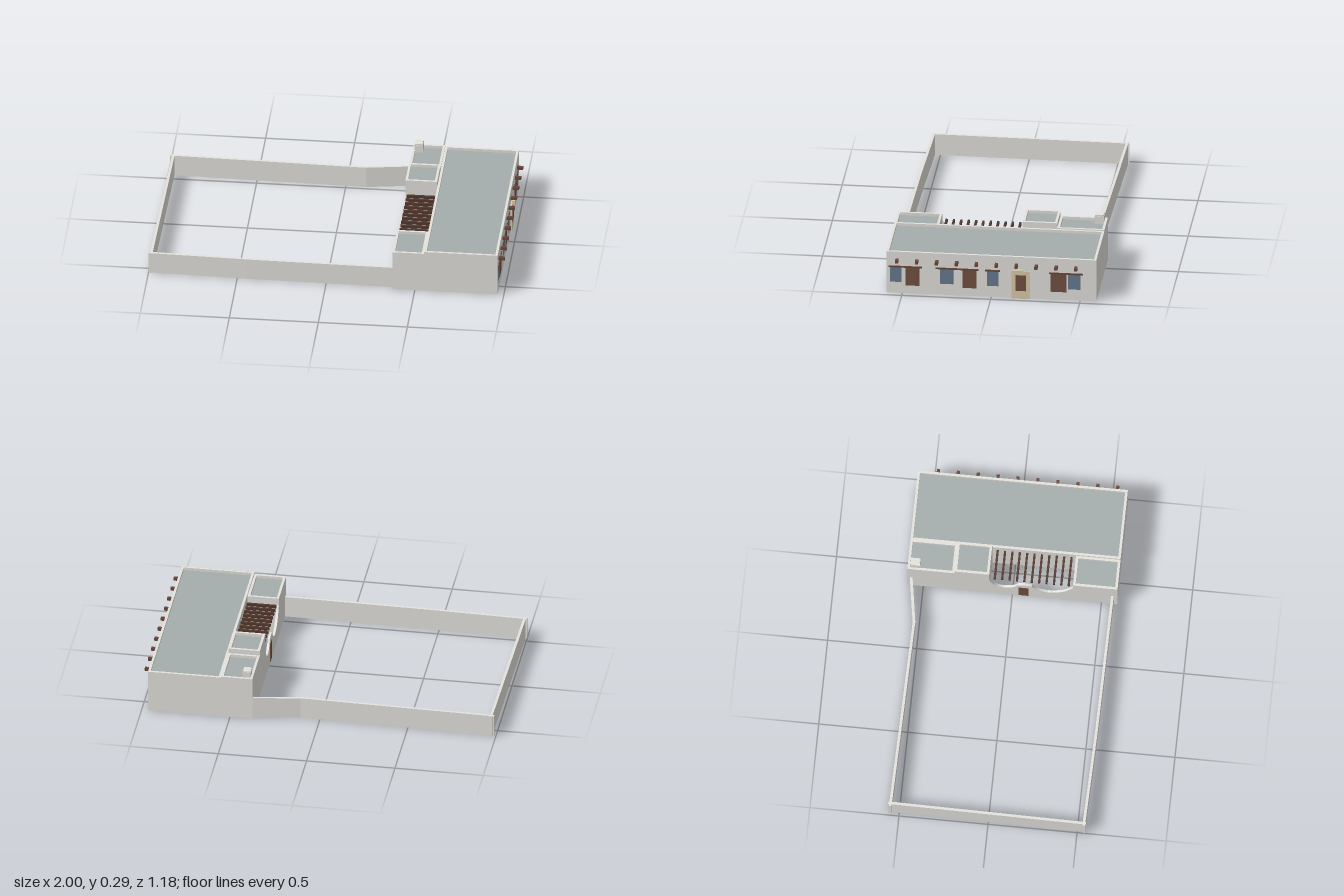
import * as THREE from 'three';

const mat = (name, color, side = THREE.FrontSide) => {
  const m = new THREE.MeshStandardMaterial({ color, side });
  m.name = name;
  return m;
};

export function createModel() {
  const model = new THREE.Group();
  model.name = 'courtyardHouse';
  const plaster = mat('plaster', 0xe4e2dd);
  const roofGrey = mat('roofGrey', 0xa5aeac, THREE.DoubleSide);
  const timber = mat('timber', 0x53392e);
  const lintelWood = mat('lintelWood', 0x69473b);
  const doorBrown = mat('doorBrown', 0x745042);
  const glassBlue = mat('glassBlue', 0x687b90);
  const sandstone = mat('sandstone', 0xdccdab);

  const add = (name, geo, material, parent = model) => {
    const m = new THREE.Mesh(geo, material);
    m.name = name;
    parent.add(m);
  };
  // Box given by its limits on each axis
  const box = (name, material, x0, x1, y0, y1, z0, z1) => {
    const g = new THREE.BoxGeometry(x1 - x0, y1 - y0, z1 - z0);
    g.translate((x0 + x1) / 2, (y0 + y1) / 2, (z0 + z1) / 2);
    add(name, g, material);
  };

  // Room: a ring of walls, open below, with a roof sunk behind the parapet
  const T = 0.014;
  const room = (name, x0, x1, z0, z1, h) => {
    const group = new THREE.Group();
    group.name = name;
    model.add(group);
    // Counter-clockwise, so that the inner faces of the hole look inwards
    const rect = (C, d) => {
      const s = new C();
      s.moveTo(x0 + d, -z1 + d);
      s.lineTo(x1 - d, -z1 + d);
      s.lineTo(x1 - d, -z0 - d);
      s.lineTo(x0 + d, -z0 - d);
      s.closePath();
      return s;
    };
    const shape = rect(THREE.Shape, 0);
    shape.holes.push(rect(THREE.Path, T));
    const walls = new THREE.ExtrudeGeometry(shape, { depth: h, bevelEnabled: false });
    walls.rotateX(-Math.PI / 2);
    add(name + 'Walls', walls, plaster, group);
    const roof = new THREE.PlaneGeometry(x1 - x0 - 2 * T, z1 - z0 - 2 * T);
    roof.rotateX(-Math.PI / 2);
    roof.translate((x0 + x1) / 2, h - 0.016, (z0 + z1) / 2);
    add(name + 'Roof', roof, roofGrey, group);
  };
  const W = 0.374, M = 0.552, E = 0.965;
  room('mainHall', M, E, -0.59, 0.59, 0.25);
  room('cornerRoom', W, M, -0.59, -0.325, 0.256);
  room('raisedRoom', W, M, -0.325, -0.13, 0.285);
  room('endRoom', W, M, 0.34, 0.59, 0.238);

  // Chimney with cap
  box('chimney', plaster, 0.386, 0.432, 0.23, 0.286, -0.574, -0.521);
  box('chimneyCap', plaster, 0.388, 0.43, 0.286, 0.293, -0.572, -0.523);

  // Scooped patio wall with a raised centre above the gate
  const s = new THREE.Shape();
  s.moveTo(-0.13, 0);
  s.lineTo(0.34, 0);
  s.lineTo(0.34, 0.195);
  s.quadraticCurveTo(0.29, 0.09, 0.2, 0.085);
  s.quadraticCurveTo(0.13, 0.1, 0.11, 0.155);
  s.quadraticCurveTo(0.07, 0.17, 0.03, 0.155);
  s.quadraticCurveTo(0.01, 0.105, -0.05, 0.1);
  s.quadraticCurveTo(-0.11, 0.11, -0.13, 0.2);
  const patio = new THREE.ExtrudeGeometry(s, { depth: T, bevelEnabled: false, curveSegments: 8 });
  patio.rotateY(-Math.PI / 2);
  patio.translate(W + T, 0, 0);
  add('patioWall', patio, plaster);
  box('patioGate', doorBrown, W - 0.002, W + 0.002, 0.005, 0.122, 0.036, 0.092);

  // Pergola beams over the patio
  for (let i = 0; i < 11; i++) {
    const z = -0.1 + i * 0.0415;
    box('pergolaBeam', timber, 0.383, 0.568, 0.193, 0.209, z - 0.006, z + 0.006);
  }

  // Roof beam ends along the street side
  for (let i = 0; i < 10; i++) {
    const z = 0.53 - i * 0.1119;
    box('beamEnd', lintelWood, E - 0.002, 1, 0.192, 0.209, z - 0.0085, z + 0.0085);
  }

  // Street side windows, shutter doors and lintels, as z ranges
  for (const [a, b] of [[0.505, 0.568], [0.214, 0.287], [-0.04, 0.024], [-0.502, -0.432]])
    box('window', glassBlue, E - 0.001, E + 0.002, 0.067, 0.157, a, b);
  for (const [a, b] of [[0.404, 0.483], [0.084, 0.163], [-0.423, -0.334]])
    box('sideDoor', doorBrown, E - 0.001, E + 0.002, 0.048, 0.157, a, b);
  for (const [a, b] of [[0.39, 0.578], [0.071, 0.312], [-0.049, 0.036], [-0.515, -0.325]])
    box('lintel', lintelWood, E - 0.001, E + 0.005, 0.156, 0.165, a, b);

  // Main entrance with stone surround and keystone
  box('entranceSurround', sandstone, E - 0.001, 0.974, 0, 0.167, -0.217, -0.115);
  box('entranceDoor', doorBrown, 0.973, 0.976, 0.048, 0.143, -0.195, -0.138);
  box('keystone', sandstone, 0.97, 0.988, 0.149, 0.178, -0.182, -0.147);

  // Yard wall, one straight run between each pair of points
  const runs = [
    [0.38, -0.569, 0.11, -0.526],
    [0.115, -0.526, -0.99, -0.55],
    [-0.972, -0.563, -0.985, 0.548],
    [-0.999, 0.537, -0.45, 0.552],
    [-0.455, 0.552, 0.38, 0.562],
  ];
  for (const [x0, z0, x1, z1] of runs) {
    const dx = x1 - x0, dz = z1 - z0;
    const g = new THREE.BoxGeometry(Math.hypot(dx, dz), 0.125, 0.015);
    g.rotateY(-Math.atan2(dz, dx));
    g.translate((x0 + x1) / 2, 0.0625, (z0 + z1) / 2);
    add('yardWall', g, plaster);
  }
  return model;
}
